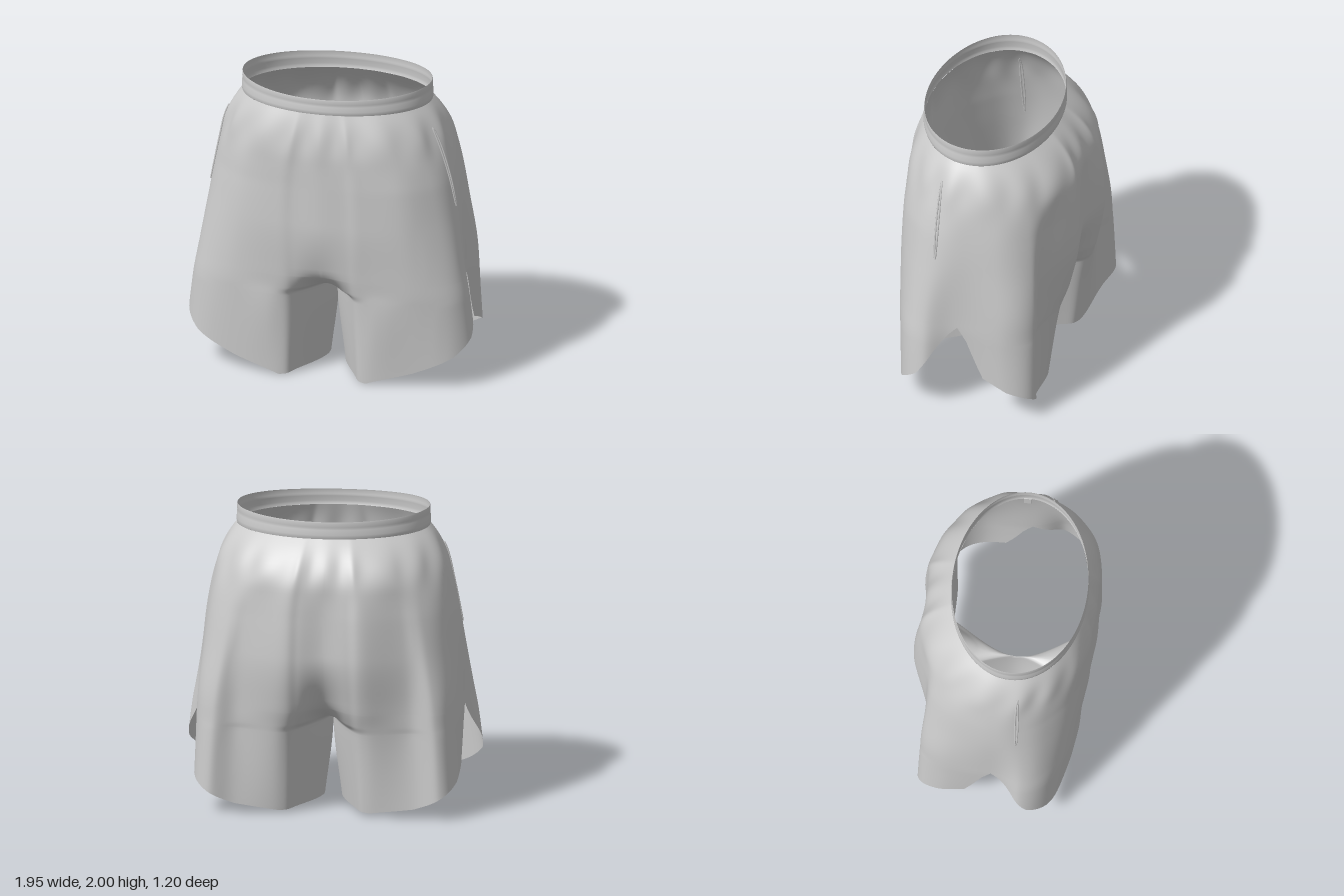
import * as THREE from 'three';
import { mergeVertices } from 'three/addons/utils/BufferGeometryUtils.js';

const material = new THREE.MeshStandardMaterial({ color: 0xcccccc, side: THREE.DoubleSide });
const TOP = 1.87, SPLIT = 0.72, CROTCH = 0.57, N = 12;

// Half cross-sections, front centre -> side -> back centre, as x, z pairs.
// Below the crotch the two ends meet and the section becomes a closed leg.
const sections = [
  { y: 0, p: [0.06, 0.06, 0.3, 0.495, 0.62, 0.465, 0.9, 0.395, 1.02, 0.215, 0.87, 0.03, 0.88, -0.34, 0.78, -0.48, 0.6, -0.43, 0.3, -0.4, 0.06, 0.06] },
  { y: CROTCH, p: [0, 0.06, 0.3, 0.535, 0.63, 0.5, 0.865, 0.395, 0.953, 0.235, 0.88, 0.05, 0.86, -0.3, 0.75, -0.465, 0.57, -0.43, 0.29, -0.48, 0, 0.06] },
  { y: 0.62, p: [0, 0.35, 0.3, 0.54, 0.63, 0.503, 0.86, 0.393, 0.945, 0.237, 0.88, 0.05, 0.858, -0.3, 0.745, -0.463, 0.57, -0.435, 0.29, -0.495, 0, -0.19] },
  { y: 0.75, p: [0, 0.53, 0.3, 0.553, 0.62, 0.507, 0.835, 0.39, 0.92, 0.24, 0.875, 0.05, 0.85, -0.3, 0.735, -0.46, 0.565, -0.44, 0.29, -0.53, 0, -0.4] },
  { y: 1.1, p: [0, 0.59, 0.3, 0.575, 0.58, 0.513, 0.77, 0.375, 0.855, 0.23, 0.86, 0.05, 0.81, -0.26, 0.69, -0.43, 0.54, -0.46, 0.28, -0.58, 0, -0.54] },
  { y: 1.55, p: [0, 0.59, 0.27, 0.575, 0.51, 0.5, 0.67, 0.36, 0.755, 0.22, 0.79, 0.05, 0.74, -0.2, 0.62, -0.36, 0.48, -0.46, 0.26, -0.55, 0, -0.54] },
];
// An extra point beside each end rounds the inner thigh
const beside = (x0, z0, x1, z1) => [x0 + 0.57 * (x1 - x0), z0 + 0.76 * (z1 - z0)];
const levels = sections.map(({ y, p }) => ({
  y,
  p: [...p.slice(0, 2), ...beside(...p.slice(0, 4)), ...p.slice(2, 20),
    ...beside(p[20], p[21], p[18], p[19]), ...p.slice(20)],
}));
const waist = [0, 0.57, 1, 2, 3, 4, 5, 6, 7, 8, 9, 9.43, 10].flatMap((i) => {
  const a = (i * Math.PI) / 10;
  return [i % 10 ? 0.638 * Math.sin(a) : 0, 0.08 + 0.45 * Math.cos(a)];
});
levels.push({ y: TOP, p: waist });

// Hem height around the section, rising to the side slit
const hemLine = [[0, 0.03], [2, 0], [3, 0.1], [4, 0.22], [4.75, 0.33], [5.6, 0.55], [6.1, 0.69],
  [6.28, 0.58], [6.54, 0.31], [7, 0.235], [8, 0.15], [9, 0.065], [10, 0.02], [12, 0.03]];
function hem(u) {
  let i = 0;
  while (i < hemLine.length - 2 && u > hemLine[i + 1][0]) i++;
  const [u0, y0] = hemLine[i], [u1, y1] = hemLine[i + 1];
  return y0 + ((y1 - y0) * (u - u0)) / (u1 - u0);
}

// Spline around one level; the ends wrap on a leg and mirror on the torso
function onLevel({ y, p }, u, k) {
  const at = (i) => {
    if (i >= 0 && i <= N) return p[i * 2 + k];
    if (y <= CROTCH) return p[(i < 0 ? N - 1 : 1) * 2 + k];
    return p[(i < 0 ? 1 : N - 1) * 2 + k] * (k ? 1 : -1);
  };
  const i = Math.min(N - 1, Math.floor(u)), t = u - i;
  const a = at(i - 1), b = at(i), c = at(i + 1), d = at(i + 2);
  return b + 0.5 * t * (c - a + t * (2 * a - 5 * b + 4 * c - d + t * (3 * (b - c) + d - a)));
}

// Monotone cubic between levels, springing out quickly below the waistband
function coord(u, y, k) {
  let i = 0;
  while (i < levels.length - 2 && y > levels[i + 1].y) i++;
  const val = (j) => onLevel(levels[j], u, k);
  const slope = (j) => (val(j + 1) - val(j)) / (levels[j + 1].y - levels[j].y);
  const tangent = (j) => {
    if (j === 0) return slope(0);
    if (j === levels.length - 1) return 1.8 * slope(j - 1);
    const a = slope(j - 1), b = slope(j);
    return a * b <= 0 ? 0 : (2 * a * b) / (a + b);
  };
  const h = levels[i + 1].y - levels[i].y, t = (y - levels[i].y) / h;
  const t2 = t * t, t3 = t2 * t;
  return (2 * t3 - 3 * t2 + 1) * val(i) + (t3 - 2 * t2 + t) * h * tangent(i) +
    (3 * t2 - 2 * t3) * val(i + 1) + (t3 - t2) * h * tangent(i + 1);
}

// Point on the cloth, with gathers under the waistband, a slight twist and a sideways drift at the back
function cloth(u, y, side, lift = 0) {
  const gather = 0.013 * Math.cos(u * Math.PI * 1.5) * Math.exp(-(((y - 1.69) / 0.12) ** 2));
  const s = 1 + gather + lift;
  const x = coord(u, y, 0) * s * side;
  const z = 0.06 + (coord(u, y, 1) - 0.06) * s;
  const drop = THREE.MathUtils.clamp((TOP - y) / 0.5, 0, 1);
  const drift = 0.025 * THREE.MathUtils.smoothstep(-z, 0, 0.4);
  return new THREE.Vector3(x + drop * drift, y, z + 0.06 * drop * x);
}

function surface(grids) {
  const pos = [], idx = [];
  for (const { rows, flip } of grids) {
    const base = pos.length / 3, n = rows[0].length;
    rows.forEach((row) => row.forEach((v) => pos.push(v.x, v.y, v.z)));
    for (let r = 0; r < rows.length - 1; r++) for (let c = 0; c < n - 1; c++) {
      const a = base + r * n + c, b = a + 1, d = a + n, e = d + 1;
      if (flip) idx.push(a, b, d, b, e, d);
      else idx.push(a, d, b, b, d, e);
    }
  }
  let g = new THREE.BufferGeometry();
  g.setAttribute('position', new THREE.Float32BufferAttribute(pos, 3));
  g.setIndex(idx);
  g = mergeVertices(g, 1e-5);
  g.computeVertexNormals();
  return g;
}

function addMesh(group, name, geometry) {
  const m = new THREE.Mesh(geometry, material);
  m.name = name;
  group.add(m);
  return m;
}

export function createModel() {
  const model = new THREE.Group();
  model.name = 'shorts';

  // Torso and both legs in one sheet
  const COLS = 132, A = 38, B = 16, C = 20;
  const grids = [1, -1].map((side) => {
    const rows = [];
    for (let r = 0; r <= A + B + C; r++) {
      const row = [];
      for (let c = 0; c <= COLS; c++) {
        const u = (N * c) / COLS, low = hem(u);
        const mid = SPLIT - ((SPLIT - low) * (SPLIT - CROTCH)) / (SPLIT - hem(0));
        const y = r <= A ? TOP + ((SPLIT - TOP) * r) / A
          : r <= A + B ? SPLIT + ((mid - SPLIT) * (r - A)) / B
            : mid + ((low - mid) * (r - A - B)) / C;
        row.push(cloth(u, y, side));
      }
      rows.push(row);
    }
    return { rows, flip: side < 0 };
  });
  addMesh(model, 'body', surface(grids));

  // Waistband with a shallow stitched groove, as offset and height
  const band = [[-0.002, 2], [0, 1.99], [0.001, 1.96], [-0.003, 1.95], [0.001, 1.94],
    [0.004, 1.9], [0.004, 1.885], [0, TOP]];
  const bandRows = band.map(([o, y]) => {
    const row = [];
    for (let i = 0; i <= 96; i++) {
      const a = (i / 96) * Math.PI * 2, f = (y - TOP) / 0.13;
      const dip = 0.025 * Math.max(0, Math.cos(a)) ** 2 + 0.015 * Math.max(0, -Math.cos(a)) ** 2;
      row.push(new THREE.Vector3((0.638 + o) * Math.sin(a), y - dip * f, 0.08 + (0.45 + o) * Math.cos(a)));
    }
    return row;
  });
  addMesh(model, 'waistband', surface([{ rows: bandRows }]));

  // Side pockets: a narrow raised lip around each upright opening
  const uAtZ = (z, y, side) => {
    let lo = 3, hi = 6;
    for (let i = 0; i < 24; i++) {
      const m = (lo + hi) / 2;
      if (cloth(m, y, side).z > z) lo = m; else hi = m;
    }
    return lo;
  };
  for (const side of [1, -1]) {
    const loop = [];
    for (let i = 0; i < 24; i++) {
      const a = (i / 24) * Math.PI * 2;
      const y = 1.47 + 0.265 * Math.cos(a);
      const z = (side > 0 ? 0.238 : 0.135) + 0.009 * Math.sin(a);
      loop.push(cloth(uAtZ(z, y, side), y, side, 0.003));
    }
    const curve = new THREE.CatmullRomCurve3(loop, true);
    addMesh(model, side > 0 ? 'leftPocket' : 'rightPocket', new THREE.TubeGeometry(curve, 96, 0.006, 6, true));
  }

  // Small care tab inside the waistband
  const tab = addMesh(model, 'innerTab', new THREE.BoxGeometry(0.006, 0.08, 0.05));
  tab.position.set(0.62, 1.88, 0.07);
  return model;
}
